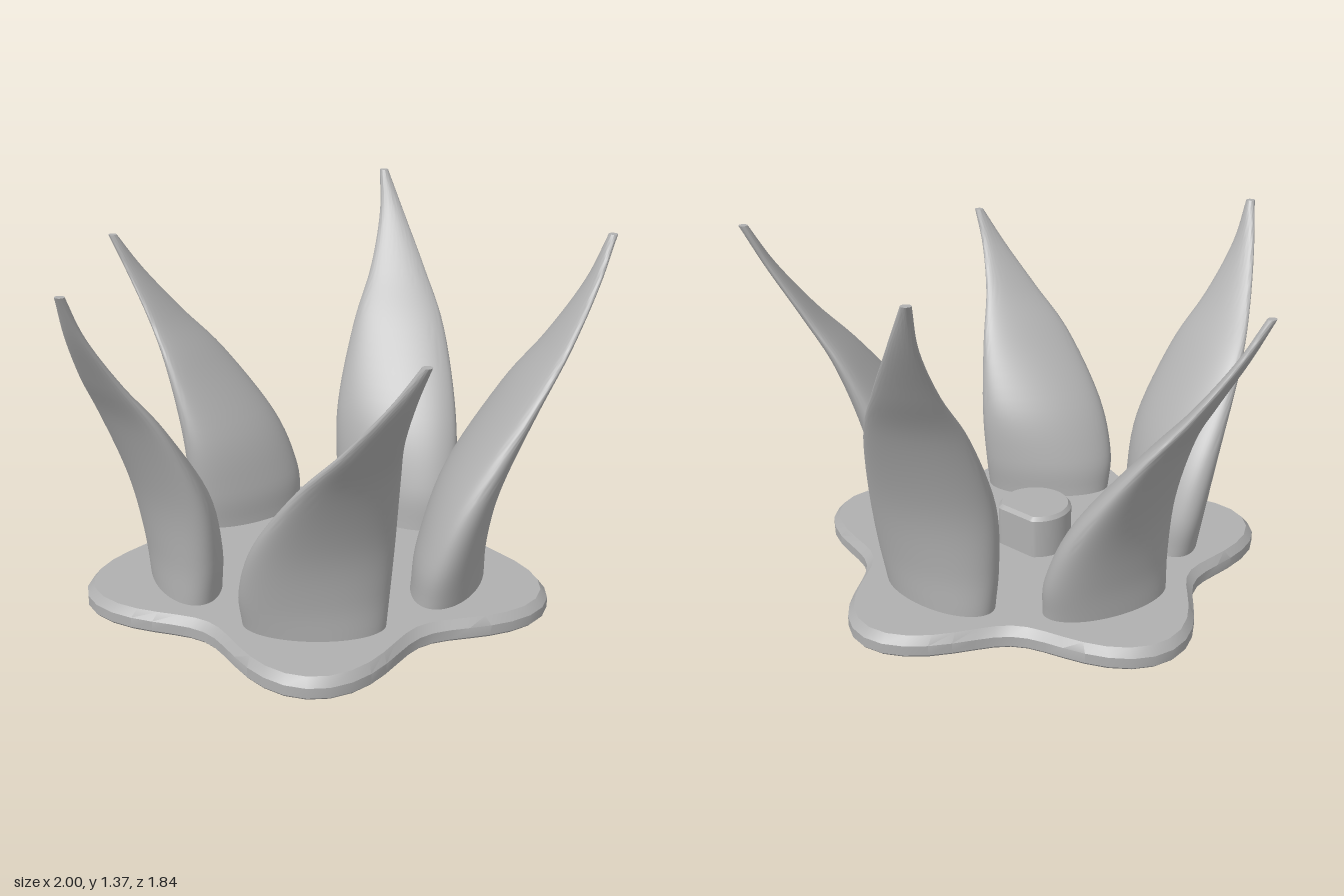
import * as THREE from 'three';
import { toCreasedNormals } from 'three/addons/utils/BufferGeometryUtils.js';

const SIDES = 72;
const CENTRE_Z = 0.075;

// Makes one ring of points, counter-clockwise seen from above
function ring(pointAt) {
  return Array.from({ length: SIDES }, (_, i) => pointAt((i / SIDES) * Math.PI * 2));
}

// Skins a stack of rings and closes both ends with fans
function loft(rings) {
  const points = rings.flat();
  const index = [];
  const last = (rings.length - 1) * SIDES;
  for (let r = 0; r < last; r += SIDES) {
    for (let i = 0; i < SIDES; i++) {
      const j = (i + 1) % SIDES;
      index.push(r + i, r + j, r + j + SIDES, r + i, r + j + SIDES, r + i + SIDES);
    }
  }
  const middle = (list) =>
    list.reduce((sum, p) => sum.add(p), new THREE.Vector3()).divideScalar(list.length);
  const bottom = points.push(middle(rings[0])) - 1;
  const top = points.push(middle(rings[rings.length - 1])) - 1;
  for (let i = 0; i < SIDES; i++) {
    const j = (i + 1) % SIDES;
    index.push(bottom, j, i, top, last + i, last + j);
  }
  const geometry = new THREE.BufferGeometry().setFromPoints(points);
  geometry.setIndex(index);
  return toCreasedNormals(geometry, 0.6);
}

// Five-lobed plate with a chamfered rim
function baseGeometry() {
  const layers = [[0, 0.008], [0.008, 0], [0.045, 0], [0.075, 0.026]];
  return loft(layers.map(([y, inset]) => ring((a) => {
    const r = 0.768 + 0.112 * Math.cos(5 * (Math.PI / 2 - a)) - inset;
    return new THREE.Vector3(r * Math.sin(a), y, r * Math.cos(a));
  })));
}

// Round peg with one flat side
function pegGeometry() {
  const layers = [[0.07, 0], [0.225, 0], [0.24, 0.012]];
  return loft(layers.map(([y, inset]) => ring((a) => new THREE.Vector3(
    Math.min((0.14 - inset) * Math.sin(a), 0.11 - inset), y, (0.14 - inset) * Math.cos(a),
  ))));
}

// Leaf path (x, height above plate, z) and section (half width, half depth, twist)
const LEAF_PATH = [
  [0.51, 0, 0], [0.522, 0.175, -0.002], [0.58, 0.425, -0.043], [0.72, 0.725, -0.135],
  [0.835, 0.925, -0.223], [0.928, 1.125, -0.32], [0.98, 1.295, -0.402],
];
const LEAF_SECTION = [
  [0.25, 0.125, 0], [0.262, 0.125, 0.12], [0.248, 0.106, 0.29], [0.186, 0.057, 0.45],
  [0.113, 0.032, 0.52], [0.052, 0.02, 0.54], [0.017, 0.016, 0.55],
];
const toCurve = (rows) => new THREE.CatmullRomCurve3(
  rows.map((row) => new THREE.Vector3(...row)), false, 'catmullrom',
);

// Tapering, twisted leaf of elliptical section, leaning outwards
function leafGeometry(scale) {
  const path = toCurve(LEAF_PATH);
  const section = toCurve(LEAF_SECTION);
  const rows = 36;
  const rings = [];
  for (let k = 0; k <= rows; k++) {
    const c = path.getPoint(k / rows);
    const { x: width, y: depth, z: twist } = section.getPoint(k / rows);
    const sin = Math.sin(twist);
    const cos = Math.cos(twist);
    const cx = 0.51 + (c.x - 0.51) * scale;
    rings.push(ring((a) => {
      const u = width * Math.cos(a);
      const v = depth * Math.sin(a);
      return new THREE.Vector3(
        cx + u * sin + v * cos, 0.072 + c.y * scale, c.z * scale + u * cos - v * sin,
      );
    }));
  }
  return loft(rings);
}

export function createModel() {
  const model = new THREE.Group();
  model.name = 'leafCluster';
  const grey = new THREE.MeshStandardMaterial({ color: 0xb0b0b0 });
  grey.name = 'plainGrey';

  const add = (name, geometry) => {
    const mesh = new THREE.Mesh(geometry, grey);
    mesh.name = name;
    mesh.position.z = CENTRE_Z;
    model.add(mesh);
    return mesh;
  };

  add('basePlate', baseGeometry());
  add('centrePeg', pegGeometry());

  // Five leaves of differing height, one on each lobe
  [1, 0.969, 0.838, 0.938, 0.869].forEach((scale, i) => {
    add(`leaf${i + 1}`, leafGeometry(scale)).rotation.y = (-i * Math.PI * 2) / 5;
  });
  return model;
}
